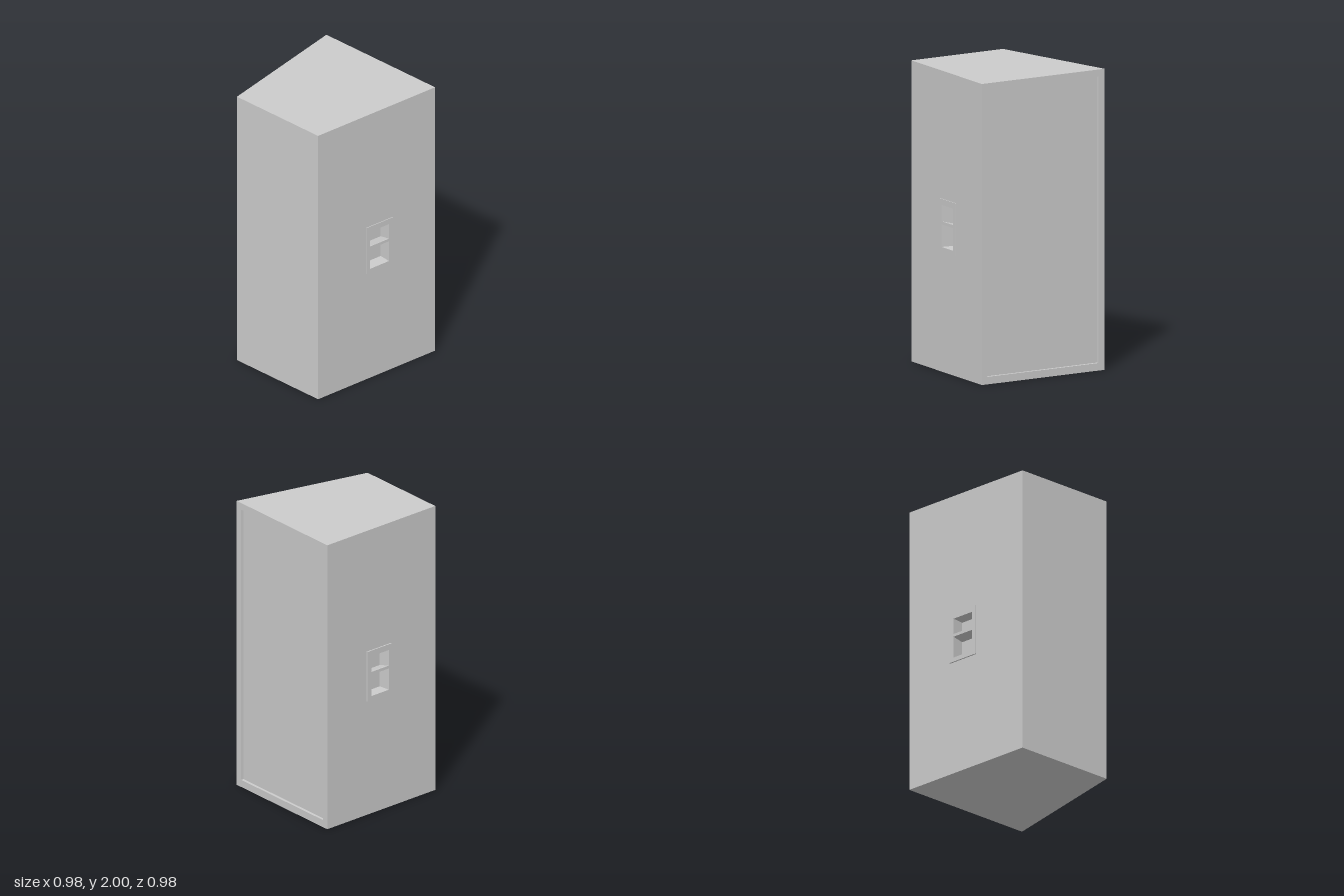
import * as THREE from 'three';

const H = 2, HALF = 0.49, BACK = 0.366;
const material = new THREE.MeshStandardMaterial({ color: 0xcccccc, flatShading: true });

function addMesh(parent, name, geometry) {
  const mesh = new THREE.Mesh(geometry, material);
  mesh.name = name;
  parent.add(mesh);
  return mesh;
}

// Trace a rectangle into a Shape or Path
function rect(path, x0, x1, y0, y1) {
  path.moveTo(x0, y0);
  path.lineTo(x1, y0);
  path.lineTo(x1, y1);
  path.lineTo(x0, y1);
  path.closePath();
  return path;
}

function rectShape(bounds, holes = []) {
  const shape = rect(new THREE.Shape(), ...bounds);
  for (const h of holes) shape.holes.push(rect(new THREE.Path(), ...h));
  return shape;
}

// Open-fronted recess going back from z = front; its back edge may have other heights
function pocketGeometry([x0, x1, y0, y1], front, depth, backY0 = y0, backY1 = y1) {
  const g = new THREE.BoxGeometry(x1 - x0, 1, depth);
  const p = g.attributes.position;
  for (let i = 0; i < p.count; i++) {
    const back = p.getZ(i) < 0, top = p.getY(i) > 0;
    p.setXYZ(i, p.getX(i) + (x0 + x1) / 2,
      top ? (back ? backY1 : y1) : (back ? backY0 : y0),
      front - (back ? depth : 0));
  }
  // Drop the front face and turn the rest inward
  const index = Array.from(g.index.array);
  index.splice(24, 6);
  g.setIndex(index.reverse());
  g.computeVertexNormals();
  return g;
}

// Sloping side wall with a raised handle plate; s = 1 for the front, -1 for the back
function sideWall(s, thickness) {
  const group = new THREE.Group();
  const angle = Math.atan2(HALF - BACK, 2 * HALF);
  const half = HALF / Math.cos(angle);
  const span = (x0, x1, y0, y1) => (s > 0 ? [x0, x1, y0, y1] : [-x1, -x0, y0, y1]);

  const opening = span(-0.06, 0.10, 0.83, 1.11);
  const lower = span(-0.06, 0.10, 0.83, 0.98);
  const upper = span(-0.06, 0.10, 1.0, 1.11);
  addMesh(group, 'sidePanel',
    new THREE.ShapeGeometry(rectShape([-half, half, 0, H], [opening])));
  addMesh(group, 'handlePlate', new THREE.ExtrudeGeometry(
    rectShape(span(-0.09, 0.135, 0.80, 1.15), [lower, upper]),
    { depth: thickness, bevelEnabled: false }));
  addMesh(group, 'lowerHandlePocket', pocketGeometry(lower, thickness, 0.085, 0.83, 0.97));
  addMesh(group, 'upperHandlePocket', pocketGeometry(upper, thickness, 0.085, 0.98, 1.11));

  group.position.z = s * (HALF + BACK) / 2;
  group.rotation.y = s > 0 ? -angle : Math.PI + angle;
  group.name = s > 0 ? 'frontSide' : 'rearSide';
  return group;
}

export function createModel() {
  const model = new THREE.Group();
  model.name = 'speakerCabinet';

  // Tapered sides with recessed handles
  model.add(sideWall(1, 0.005), sideWall(-1, 0.009));

  // Trapezoid top and bottom
  const plan = new THREE.Shape([
    new THREE.Vector2(-HALF, -BACK), new THREE.Vector2(HALF, -HALF),
    new THREE.Vector2(HALF, HALF), new THREE.Vector2(-HALF, BACK),
  ]);
  const top = addMesh(model, 'topPanel', new THREE.ShapeGeometry(plan));
  top.rotation.x = -Math.PI / 2;
  top.position.y = H;
  const bottom = addMesh(model, 'bottomPanel', new THREE.ShapeGeometry(plan));
  bottom.rotation.x = Math.PI / 2;

  // Narrow closed end
  const narrow = addMesh(model, 'narrowEndPanel',
    new THREE.ShapeGeometry(rectShape([-BACK, BACK, 0, H])));
  narrow.rotation.y = -Math.PI / 2;
  narrow.position.x = -HALF;

  // Wide end: rim around a shallow sunken grille
  const wide = new THREE.Group();
  wide.name = 'wideEnd';
  const inset = [-0.443, 0.443, 0.05, 1.953];
  addMesh(wide, 'rim', new THREE.ShapeGeometry(rectShape([-HALF, HALF, 0, H], [inset])));
  addMesh(wide, 'sunkenGrille', pocketGeometry(inset, 0, 0.02));
  wide.rotation.y = Math.PI / 2;
  wide.position.x = HALF;
  model.add(wide);

  return model;
}
